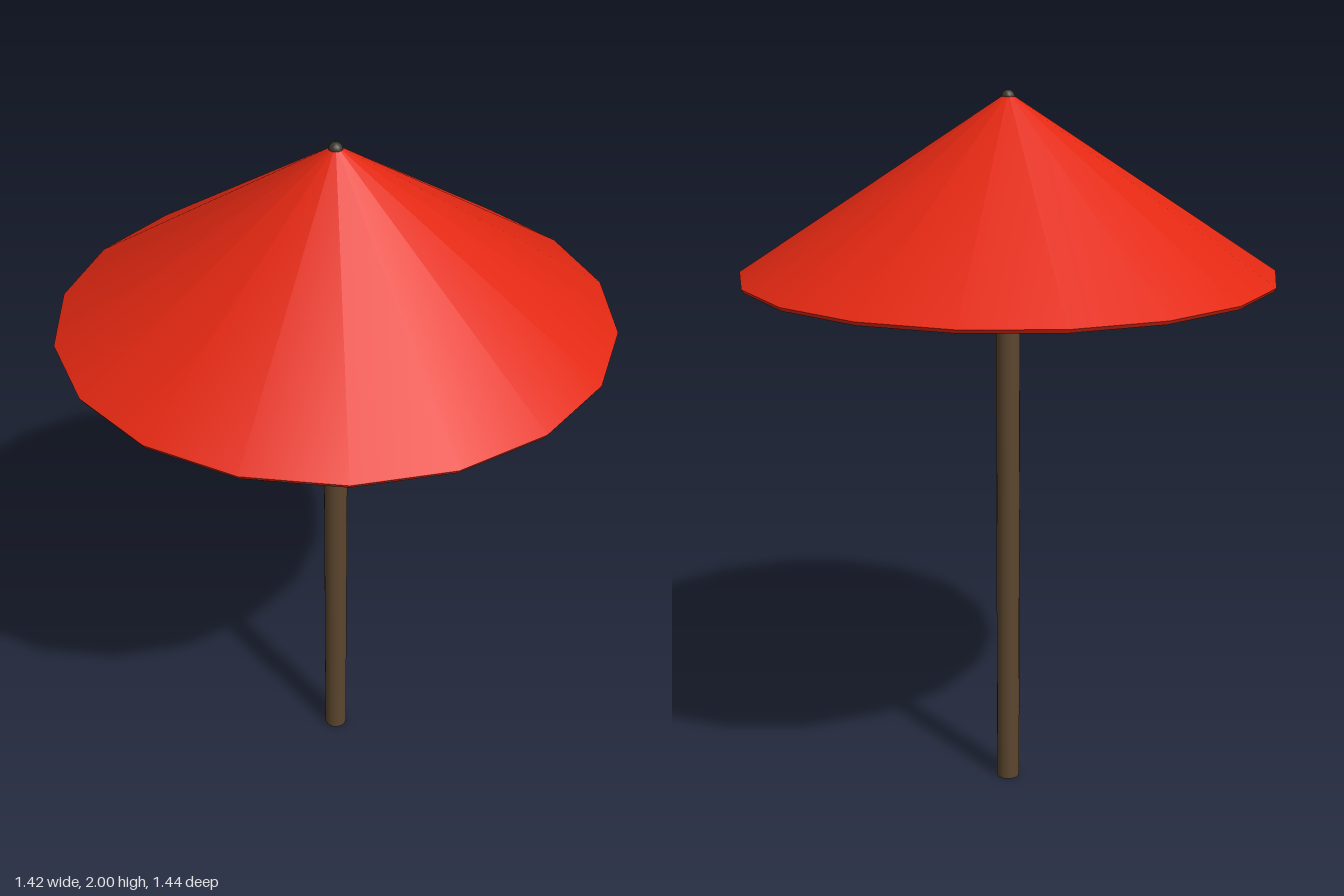
import * as THREE from 'three';

const material = (name, color) => {
  const m = new THREE.MeshStandardMaterial({ color });
  m.name = name;
  return m;
};

export function createModel() {
  const group = new THREE.Group();
  group.name = 'parasol';
  const red = material('red canvas', 0xe22812);
  const brown = material('brown wood', 0x5c462e);
  const dark = material('dark cap', 0x3c342c);

  const add = (name, geometry, mat, y = 0) => {
    const mesh = new THREE.Mesh(geometry, mat);
    mesh.name = name;
    mesh.position.y = y;
    group.add(mesh);
  };
  // Eighteen-sided band between two profile points, kept separate for crisp edges
  const band = (a, b) => new THREE.LatheGeometry(
    [new THREE.Vector2(...a), new THREE.Vector2(...b)], 18);

  // Canopy: thin hollow cone made of top, edge and underside
  const outerRim = [0.722, 1.524], innerRim = [0.716, 1.514];
  add('canopyTop', band(outerRim, [0, 1.994]), red);
  add('canopyEdge', band(innerRim, outerRim), red);
  add('canopyUnderside', band([0, 1.982], innerRim), red);

  // Pole, ending just under the canopy
  add('pole', new THREE.CylinderGeometry(0.033, 0.033, 1.96, 18), brown, 0.98);

  // Small cap on the tip
  add('finial', new THREE.SphereGeometry(0.018, 14, 10), dark, 1.982);

  return group;
}
